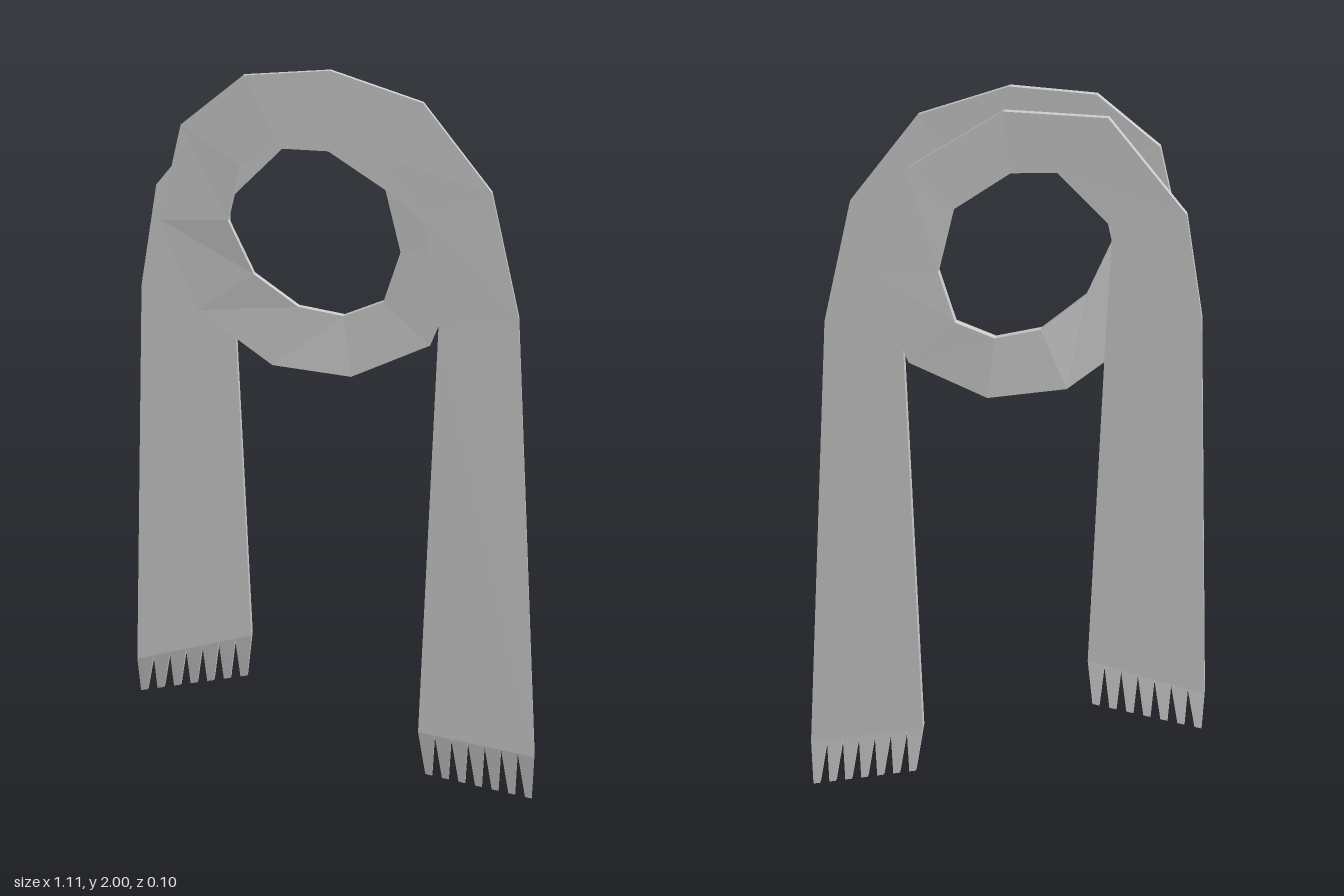
import * as THREE from 'three';

const material = new THREE.MeshStandardMaterial({ color: 0xcccccc, flatShading: true });

// Rectangular section: outer and inner edge points, centre depth, half thickness
function section([ox, oy, ix, iy, z], half) {
  return [[ox, oy, z + half], [ix, iy, z + half], [ix, iy, z - half], [ox, oy, z - half]];
}

// Closed, hard-edged solid through a row of four-cornered sections
function loft(name, sections) {
  const pos = [];
  const quad = (a, b, c, d) => pos.push(...a, ...b, ...c, ...a, ...c, ...d);
  for (let i = 0; i < sections.length - 1; i++) {
    const s = sections[i], t = sections[i + 1];
    for (let k = 0; k < 4; k++) {
      const n = (k + 1) % 4;
      quad(s[k], t[k], t[n], s[n]);
    }
  }
  quad(...sections[0]);
  quad(...[...sections[sections.length - 1]].reverse());
  const g = new THREE.BufferGeometry();
  g.setAttribute('position', new THREE.Float32BufferAttribute(pos, 3));
  g.computeVertexNormals();
  const mesh = new THREE.Mesh(g, material);
  mesh.name = name;
  return mesh;
}

// Part of a section between fractions a and b of its width
function slice([ox, oy, ix, iy, z], a, b) {
  const mix = THREE.MathUtils.lerp;
  return [mix(ox, ix, a), mix(oy, iy, a), mix(ox, ix, b), mix(oy, iy, b), z];
}

const HALF = 0.014;

// Row of tapered tassels between the band end and the tip line
function fringe(name, root, tip, atStart) {
  const group = new THREE.Group();
  group.name = name;
  const count = 7, narrow = 0.45;
  for (let i = 0; i < count; i++) {
    const a = i / count, b = (i + 1) / count;
    // tips are spread so the outermost ones reach the ends of the tip line
    const step = (1 - narrow / count) / (count - 1);
    const rootSection = section(slice(root, a, b), HALF);
    const tipSection = section(slice(tip, i * step, i * step + narrow / count), 0.008);
    group.add(loft('tassel', atStart ? [tipSection, rootSection] : [rootSection, tipSection]));
  }
  return group;
}

export function createModel() {
  const model = new THREE.Group();
  model.name = 'scarf';

  // Band stations: outer x, outer y, inner x, inner y, z
  const path = [
    // front end, rising to the top
    [0.55, 0.13, 0.23, 0.19, 0.015],
    [0.485, 1.36, 0.275, 1.33, 0.03],
    [0.41, 1.69, 0.235, 1.63, 0.036],
    [0.23, 1.92, 0.12, 1.78, 0.04],
    [-0.01, 2.0, -0.04, 1.83, 0.04],
    [-0.235, 1.985, -0.155, 1.825, 0.038],
    // around the neck, sinking to the back
    [-0.40, 1.855, -0.245, 1.75, 0.034],
    [-0.46, 1.605, -0.28, 1.605, 0.028],
    [-0.365, 1.36, -0.215, 1.46, 0.012],
    [-0.17, 1.21, -0.10, 1.37, -0.01],
    [0.04, 1.18, 0.02, 1.345, -0.022],
    [0.25, 1.27, 0.125, 1.385, -0.024],
    [0.35, 1.51, 0.17, 1.52, -0.02],
    [0.25, 1.79, 0.13, 1.685, -0.014],
    [0.0, 1.945, -0.02, 1.785, -0.01],
    // over the top again and down to the rear end
    [-0.27, 1.935, -0.14, 1.79, -0.01],
    [-0.475, 1.69, -0.285, 1.65, -0.012],
    [-0.52, 1.42, -0.27, 1.33, -0.015],
    [-0.555, 0.36, -0.235, 0.44, -0.025],
  ];
  model.add(loft('band', path.map((p) => section(p, HALF))));

  // Fringes at both hanging ends
  model.add(fringe('frontFringe', path[0], [0.545, 0.0, 0.25, 0.06, 0.003], true));
  model.add(fringe('rearFringe', path[path.length - 1], [-0.55, 0.26, -0.25, 0.315, -0.038], false));
  return model;
}
